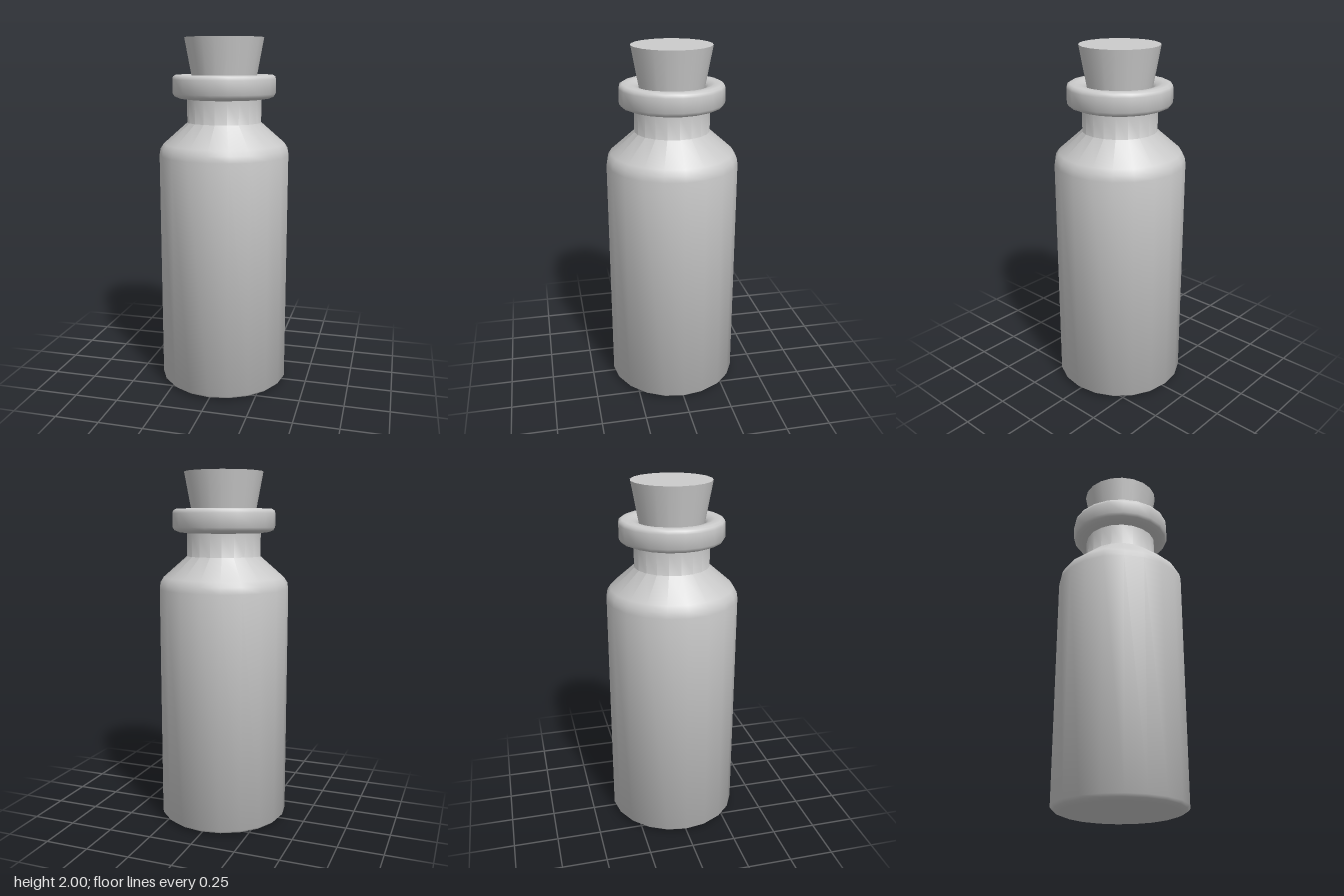
import * as THREE from 'three';
import { toCreasedNormals } from 'three/addons/utils/BufferGeometryUtils.js';

const SIDES = 20;

export function createModel() {
  const group = new THREE.Group();
  const material = new THREE.MeshStandardMaterial({ color: 0xcccccc });

  function add(name, geometry) {
    const mesh = new THREE.Mesh(geometry, material);
    mesh.name = name;
    group.add(mesh);
    return mesh;
  }

  // Bottle: base, wall, rounded shoulder, neck, rolled lip and bore
  const profile = [
    [0, 0], [0.33, 0], [0.355, 0.01], [0.37, 0.025],
    [0.37, 1.35], [0.364, 1.385], [0.345, 1.415], [0.21, 1.533],
    [0.21, 1.662], [0.255, 1.668], [0.28, 1.678], [0.291, 1.695],
    [0.291, 1.772], [0.287, 1.788], [0.272, 1.797], [0.235, 1.797],
    [0.2, 1.787], [0.183, 1.765], [0.178, 1.74], [0.178, 1.6],
  ].map(([r, y]) => new THREE.Vector2(r, y));
  add('bottle', toCreasedNormals(new THREE.LatheGeometry(profile, SIDES), THREE.MathUtils.degToRad(50)));

  // Tapered cork, pushed down into the neck
  const top = 2, bottom = 1.62;
  const cork = add('cork', new THREE.CylinderGeometry(0.222, 0.152, top - bottom, SIDES));
  cork.position.y = (top + bottom) / 2;

  return group;
}
